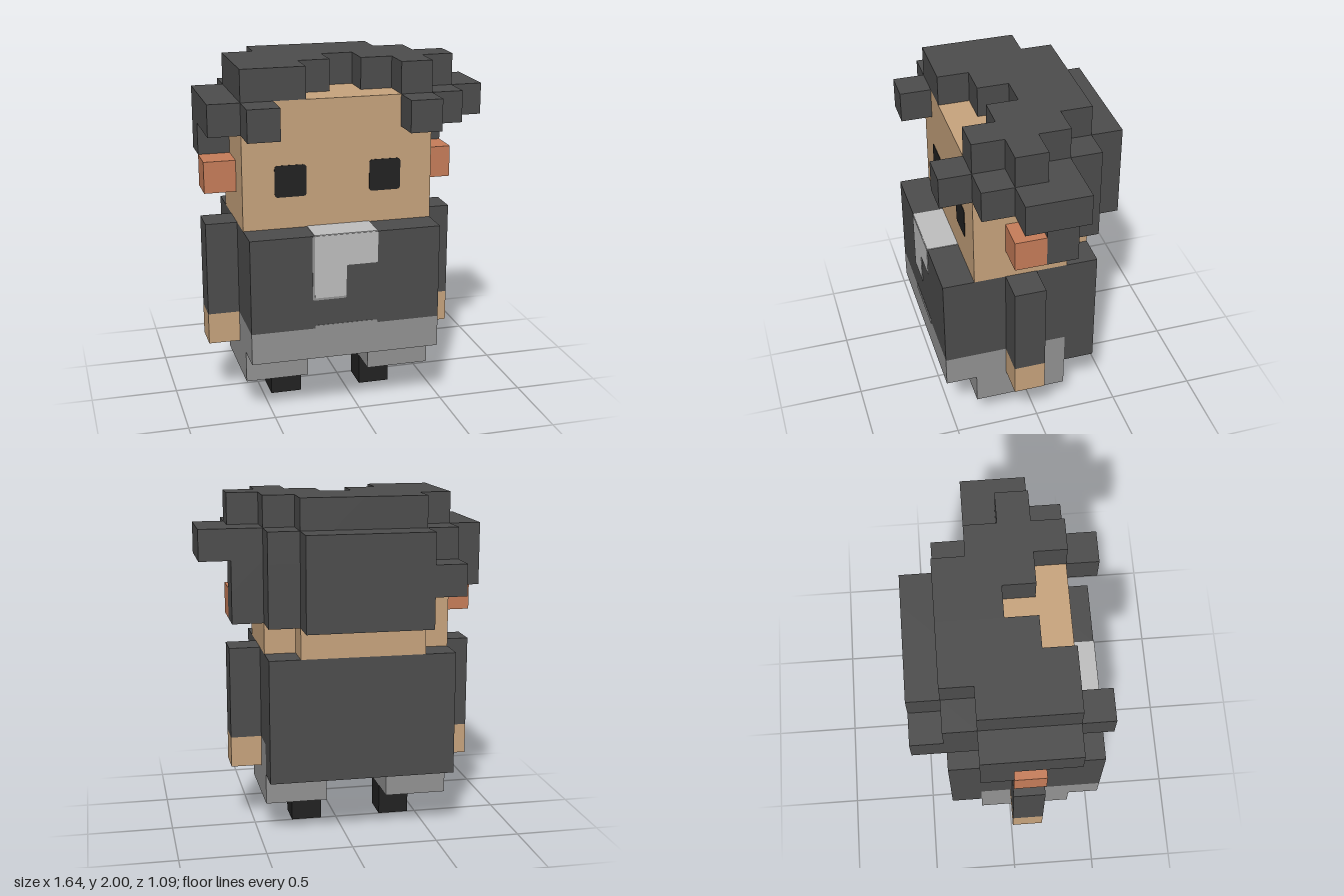
import * as THREE from 'three';
import { mergeGeometries } from 'three/addons/utils/BufferGeometryUtils.js';

const U = 2 / 11; // edge of one cube
const X = (i) => (i - 4.5) * U;
const Y = (j) => j * U;
const Z = (k) => (k - 3) * U;

const material = (name, color) => {
  const m = new THREE.MeshStandardMaterial({ color });
  m.name = name;
  return m;
};

// Face directions, with the turn about x and y that points a plane that way
const Q = Math.PI / 2;
const SIDES = [
  [1, 0, 0, 0, Q], [-1, 0, 0, 0, -Q],
  [0, 1, 0, -Q, 0], [0, -1, 0, Q, 0],
  [0, 0, 1, 0, 0], [0, 0, -1, 0, 2 * Q],
];

// Rounded polygon outline from corner points
function roundedShape(pts, r) {
  const s = new THREE.Shape();
  pts.forEach((p, n) => {
    const c = new THREE.Vector2(...p);
    const prev = new THREE.Vector2(...pts[(n + pts.length - 1) % pts.length]);
    const next = new THREE.Vector2(...pts[(n + 1) % pts.length]);
    const a = c.clone().add(prev.sub(c).setLength(r));
    const b = c.clone().add(next.sub(c).setLength(r));
    if (n === 0) s.moveTo(a.x, a.y); else s.lineTo(a.x, a.y);
    s.quadraticCurveTo(c.x, c.y, b.x, b.y);
  });
  s.closePath();
  return s;
}

export function createModel() {
  const model = new THREE.Group();
  const dark = material('charcoal', 0x4d4d4d);
  const black = material('black', 0x222222);
  const grey = material('grey', 0x949494);
  const light = material('light grey', 0xc0c0c0);
  const skin = material('skin', 0xc9a57e);
  const pink = material('ear pink', 0xc87e5a);

  // Cubes are collected first so that faces between parts can be left out
  const cells = new Map();
  const parts = new Map();
  const fill = (name, mat, i0, i1, j0, j1, k0, k1) => {
    if (!parts.has(name)) parts.set(name, { mat, list: [] });
    for (let i = i0; i <= i1; i++)
      for (let j = j0; j <= j1; j++)
        for (let k = k0; k <= k1; k++) {
          const key = `${i},${j},${k}`;
          if (cells.has(key)) continue;
          cells.set(key, name);
          parts.get(name).list.push([i, j, k]);
        }
  };

  // Feet and legs
  fill('rightFoot', black, 2, 2, 0, 0, 3, 3);
  fill('leftFoot', black, 5, 5, 0, 0, 3, 3);
  fill('rightLeg', grey, 1, 2, 1, 1, 2, 4);
  fill('leftLeg', grey, 5, 6, 1, 1, 2, 4);

  // Body, with the jacket hanging lower at the back
  fill('trousers', grey, 1, 6, 2, 2, 2, 5);
  fill('jacket', dark, 1, 6, 3, 5, 1, 5);
  fill('jacket', dark, 1, 6, 2, 2, 1, 1);

  // Arms, hands and ears
  for (const [side, i] of [['right', 0], ['left', 7]]) {
    fill(side + 'Hand', skin, i, i, 2, 2, 3, 3);
    fill(side + 'Sleeve', dark, i, i, 3, 5, 3, 3);
    fill(side + 'Ear', pink, i, i, 7, 7, 3, 3);
  }

  // Head and neck
  fill('head', skin, 1, 6, 6, 9, 2, 4);
  fill('head', skin, 2, 5, 6, 6, 1, 1);

  // Hair: crown layer
  const hair = (...r) => fill('hair', dark, ...r);
  hair(2, 5, 10, 10, 1, 1);
  hair(1, 6, 10, 10, 2, 2);
  hair(1, 3, 10, 10, 3, 3);
  hair(5, 7, 10, 10, 3, 3);
  hair(1, 2, 10, 10, 4, 4);
  hair(6, 6, 10, 10, 4, 4);
  // Hair: back
  hair(2, 5, 7, 9, 0, 0);
  hair(2, 6, 7, 9, 1, 1);
  hair(1, 1, 8, 9, 1, 1);
  hair(1, 1, 8, 8, 0, 0);
  // Hair: right side
  hair(0, 0, 9, 9, 2, 4);
  hair(0, 0, 8, 8, 2, 2);
  // Hair: left side
  hair(7, 8, 9, 9, 2, 3);
  hair(7, 7, 9, 9, 4, 4);
  hair(7, 7, 7, 8, 2, 2);
  // Hair: front tufts
  hair(1, 1, 9, 9, 5, 5);
  hair(6, 6, 9, 9, 5, 5);

  for (const [name, { mat, list }] of parts) {
    const faces = [];
    for (const [i, j, k] of list)
      for (const [dx, dy, dz, rx, ry] of SIDES) {
        if (cells.has(`${i + dx},${j + dy},${k + dz}`)) continue;
        faces.push(new THREE.PlaneGeometry(U, U).rotateX(rx).rotateY(ry).translate(
          X(i + 0.5) + dx * U / 2, Y(j + 0.5) + dy * U / 2, Z(k + 0.5) + dz * U / 2));
      }
    const mesh = new THREE.Mesh(mergeGeometries(faces), mat);
    mesh.name = name;
    model.add(mesh);
  }

  // Thin painted plates on the front
  const plate = (name, mat, pts, r, z, depth) => {
    const geo = new THREE.ExtrudeGeometry(roundedShape(pts, r),
      { depth, bevelEnabled: false, curveSegments: 4 });
    const mesh = new THREE.Mesh(geo, mat);
    mesh.name = name;
    mesh.position.z = z;
    model.add(mesh);
  };
  const rect = (x0, x1, y0, y1) => [[x0, y0], [x1, y0], [x1, y1], [x0, y1]];
  for (const [name, i] of [['rightEye', 2], ['leftEye', 5]])
    plate(name, black, rect(X(i), X(i + 1), Y(7), Y(8)), 0.02, Z(5), 0.003);

  // Shirt showing at the collar, with a grey edge
  const collar = (e) => [
    [X(3) - e, Y(4) - e], [X(4), Y(4) - e], [X(4), Y(5)],
    [X(5), Y(5)], [X(5), Y(6)], [X(3) - e, Y(6)],
  ];
  plate('shirtEdge', grey, collar(0.013), 0.01, Z(6), 0.002);
  plate('shirt', light, collar(0), 0.01, Z(6), 0.004);
  const top = new THREE.Mesh(new THREE.BoxGeometry(2 * U, 0.004, U), light);
  top.name = 'shirtTop';
  top.position.set(X(4), Y(6) + 0.002, Z(5.5));
  model.add(top);

  // Raised middle of the waistband
  plate('waistband', grey, rect(X(3), X(5), Y(3) - 0.02, Y(3) + 0.018), 0.01, Z(6), 0.002);

  return model;
}
